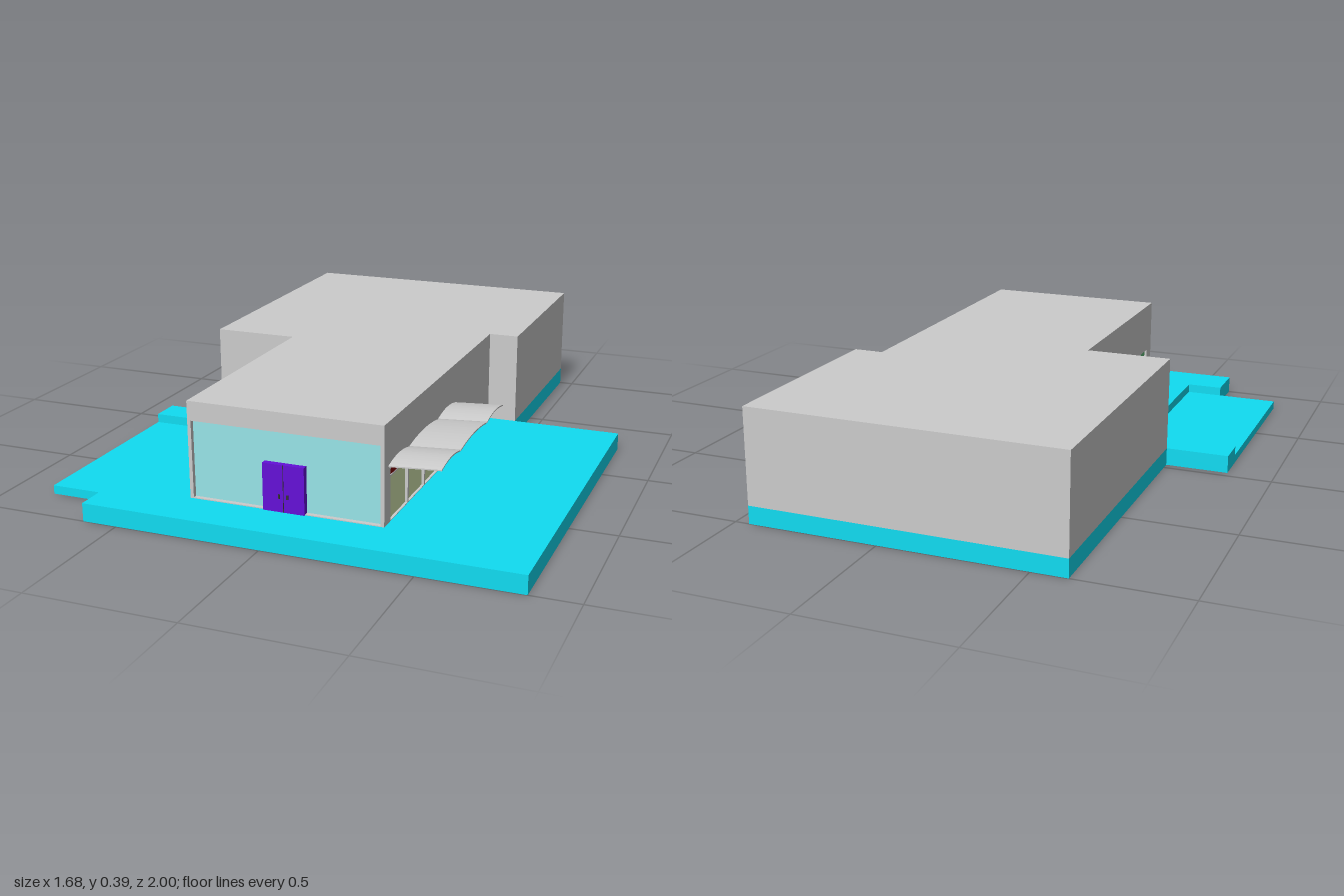
import * as THREE from 'three';

const mat = (color) => new THREE.MeshStandardMaterial({ color, flatShading: true, side: THREE.DoubleSide });
const grey = mat(0xcccccc), cyan = mat(0x10dcf2), glass = mat(0x98e4e8), purple = mat(0x6410d8);
const lime = mat(0xd6e8b0), red = mat(0x800000), green = mat(0x5fb878), dark = mat(0x333333);

const T = 0.012; // depth of wall panels and window recesses
const BASE = 0.062, ROOF = 0.39;
const LEFT = 0.345, RIGHT = -0.32, FRONT = 0.835;
const bays = [[0.135, 0.285], [0.3, 0.455], [0.465, 0.615], [0.625, 0.78]];

function add(group, name, geometry, material) {
  const mesh = new THREE.Mesh(geometry, material);
  mesh.name = name;
  group.add(mesh);
  return mesh;
}

// Box given by its limits on each axis
function box(group, name, material, [x0, x1], [y0, y1], [z0, z1]) {
  const m = add(group, name, new THREE.BoxGeometry(x1 - x0, y1 - y0, z1 - z0), material);
  m.position.set((x0 + x1) / 2, (y0 + y1) / 2, (z0 + z1) / 2);
  return m;
}

// Floor plan of [x, z] corners raised from y0 to y1
function plan(corners, y0, y1) {
  const shape = new THREE.Shape(corners.map(([x, z]) => new THREE.Vector2(x, -z)));
  const g = new THREE.ExtrudeGeometry(shape, { depth: y1 - y0, bevelEnabled: false });
  return g.rotateX(-Math.PI / 2).translate(0, y0, 0);
}

function rect(target, [u0, u1], [v0, v1]) {
  target.moveTo(u0, v0).lineTo(u1, v0).lineTo(u1, v1).lineTo(u0, v1).closePath();
  return target;
}

// Upright wall panel with rectangular openings
function panel(u, v, openings, depth) {
  const shape = rect(new THREE.Shape(), u, v);
  for (const [ou, ov] of openings) shape.holes.push(rect(new THREE.Path(), ou, ov));
  return new THREE.ExtrudeGeometry(shape, { depth, bevelEnabled: false });
}

// Shallow arched sheet running outward from the wall and tilting up
function awning(z0, z1) {
  const n = 12, rise = 0.012, thick = 0.004, pts = [];
  const arc = (t) => rise * (1 - (2 * t - 1) ** 2);
  for (let i = 0; i <= n; i++) pts.push(new THREE.Vector2(z0 + (z1 - z0) * i / n, arc(i / n)));
  for (let i = n; i >= 0; i--) pts.push(new THREE.Vector2(z0 + (z1 - z0) * i / n, arc(i / n) - thick));
  const g = new THREE.ExtrudeGeometry(new THREE.Shape(pts), { depth: 0.17, bevelEnabled: false });
  g.rotateY(-Math.PI / 2).translate(0.17, 0, 0);
  const p = g.attributes.position;
  for (let i = 0; i < p.count; i++) p.setY(i, p.getY(i) + p.getX(i) * 0.06);
  g.computeVertexNormals();
  return g.translate(LEFT, 0.25, 0);
}

export function createModel() {
  const model = new THREE.Group();

  // Paved base with a lower terrace on the right
  const base = new THREE.Group();
  base.name = 'base';
  model.add(base);
  add(base, 'paving', plan([
    [-0.62, -1], [0.45, -1], [0.45, -0.27], [0.84, -0.27], [0.84, 1], [-0.62, 1],
    [-0.62, FRONT], [-0.49, FRONT], [-0.49, 0.14], [-0.84, 0.14], [-0.84, 0.03], [-0.62, 0.03],
  ], 0, BASE), cyan);
  box(base, 'lowerTerrace', cyan, [-0.84, -0.49], [0, 0.03], [0.14, FRONT]);

  // Main building block, its front wing inset to receive the wall panels
  const wl = LEFT - T, wr = RIGHT + T, wf = FRONT - 0.02;
  add(model, 'buildingBody', plan([
    [-0.62, -1], [0.45, -1], [0.45, -0.27], [wl, -0.27], [wl, wf],
    [wr, wf], [wr, 0.03], [-0.62, 0.03],
  ], BASE, ROOF), grey);

  // Front wall frame, glazing and double door
  const front = panel([RIGHT, LEFT], [BASE, ROOF], [[[-0.308, 0.333], [BASE + 0.003, 0.325]]], 0.02);
  add(model, 'frontFrame', front.translate(0, 0, wf), grey);
  box(model, 'frontGlass', glass, [-0.308, 0.333], [BASE, 0.325], [wf - 0.002, wf + 0.005]);
  box(model, 'frontDoor', purple, [-0.06, 0.082], [BASE, 0.22], [wf - 0.005, 0.84]);
  box(model, 'doorSeam', dark, [0.01, 0.012], [BASE, 0.22], [0.838, 0.841]);
  for (const x of [-0.003, 0.025]) {
    box(model, 'doorHandle', dark, [x - 0.003, x + 0.003], [0.108, 0.122], [0.838, 0.843]);
  }

  // Side walls of the wing: tall shop windows on the left, small windows on the right
  const tall = bays.map((z) => [z, [BASE + 0.002, 0.246]]);
  const small = bays.map((z) => [z, [0.1, 0.205]]);
  add(model, 'leftWall', panel([-0.27, wf], [BASE, ROOF], tall, T)
    .rotateY(-Math.PI / 2).translate(LEFT, 0, 0), grey);
  add(model, 'rightWall', panel([0.03, wf], [BASE, ROOF], small, T)
    .rotateY(-Math.PI / 2).translate(wr, 0, 0), grey);
  for (const z of bays) {
    box(model, 'shopWindow', lime, [wl - 0.002, wl + 0.003], [BASE, 0.202], z);
    box(model, 'windowHeader', red, [wl - 0.002, wl + 0.004], [0.207, 0.246], z);
    box(model, 'windowRail', grey, [wl - 0.002, wl + 0.006], [0.202, 0.207], z);
    box(model, 'sideWindow', green, [wr - 0.003, wr + 0.002], [0.1, 0.205], z);
  }

  // Row of arched awnings above the shop windows
  for (const [z0, z1] of [[0.14, 0.328], [0.335, 0.612], [0.618, 0.8]]) {
    add(model, 'awning', awning(z0, z1), grey);
  }

  return model;
}
